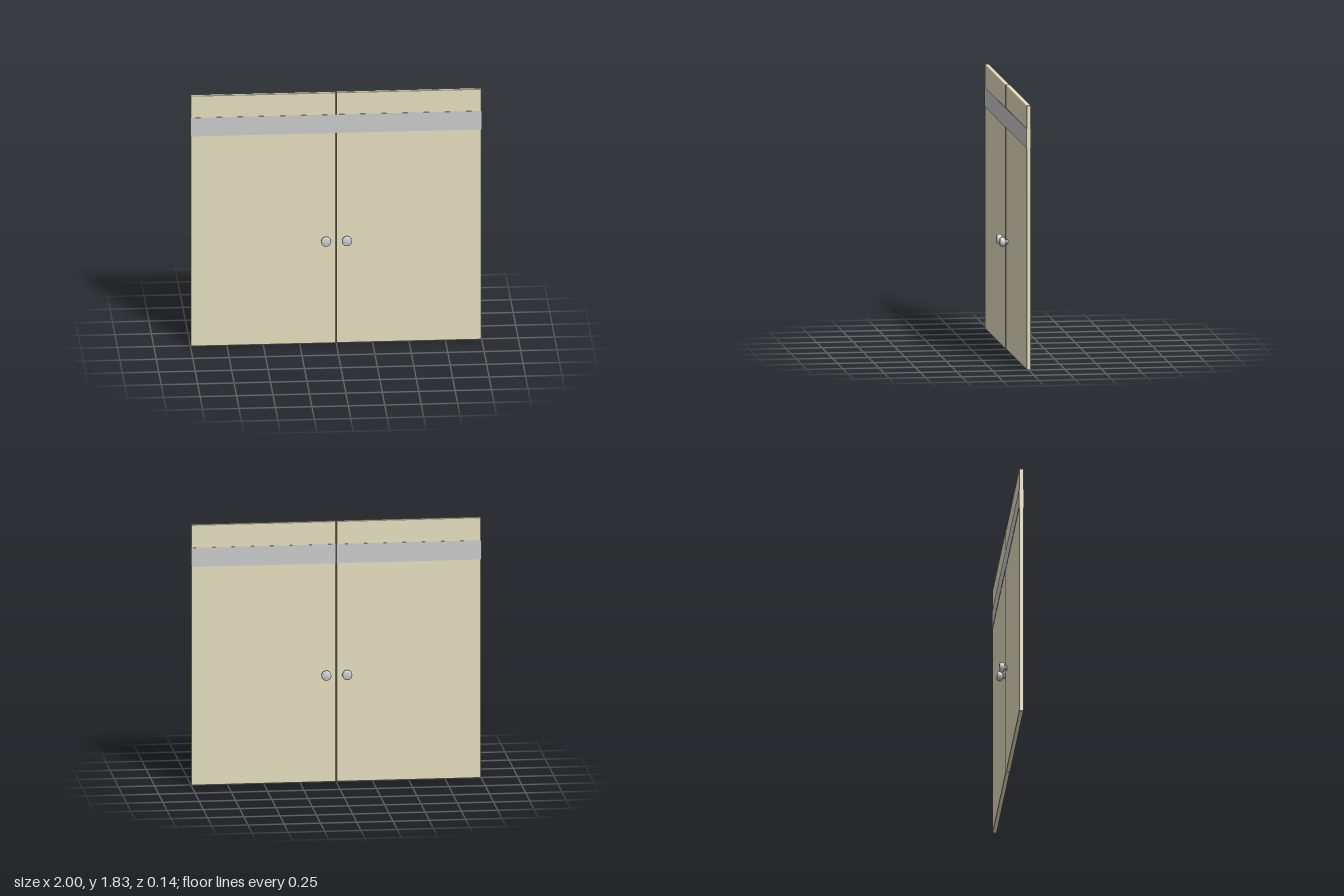
import * as THREE from 'three';
import { RoundedBoxGeometry } from 'three/addons/geometries/RoundedBoxGeometry.js';

const HEIGHT = 1.83, WIDTH = 0.996, THICK = 0.03;

export function createModel() {
  const model = new THREE.Group();
  model.name = 'doubleDoor';
  const wood = new THREE.MeshStandardMaterial({ color: 0xe6dfc0 });
  const metal = new THREE.MeshStandardMaterial({ color: 0xcccccc });

  function add(parent, name, geometry, material, x, y, z) {
    const mesh = new THREE.Mesh(geometry, material);
    mesh.name = name;
    mesh.position.set(x, y, z);
    parent.add(mesh);
    return mesh;
  }

  // Knob profile: rose against the door, slim neck, rounded grip
  const profile = [
    [0.018, 0], [0.018, 0.004], [0.013, 0.008], [0.013, 0.014], [0.022, 0.017],
    [0.031, 0.021], [0.034, 0.027], [0.034, 0.042], [0.031, 0.049], [0.025, 0.053], [0, 0.055],
  ].map(([r, h]) => new THREE.Vector2(r, h));
  const knobGeometry = new THREE.LatheGeometry(profile, 24);

  const panelGeometry = new RoundedBoxGeometry(WIDTH, HEIGHT, THICK, 2, 0.005);
  const bandGeometry = new THREE.BoxGeometry(0.999, 0.135, 0.003);

  for (const side of [-1, 1]) {
    const door = new THREE.Group();
    door.name = side > 0 ? 'leftDoor' : 'rightDoor';
    // The two leaves sit very slightly out of line
    door.position.z = side > 0 ? -0.001 : 0.001;
    model.add(door);

    add(door, 'panel', panelGeometry, wood, side * 0.5, HEIGHT / 2, 0);

    // Protective band and knob on both faces
    for (const face of [-1, 1]) {
      const where = face > 0 ? 'front' : 'back';
      add(door, where + 'Band', bandGeometry, metal, side * 0.5, 1.603, face * (THICK / 2 + 0.001));
      const knob = add(door, where + 'Knob', knobGeometry, metal, side * 0.072, 0.755, face * THICK / 2);
      knob.rotation.x = face * Math.PI / 2;
    }
  }
  return model;
}
